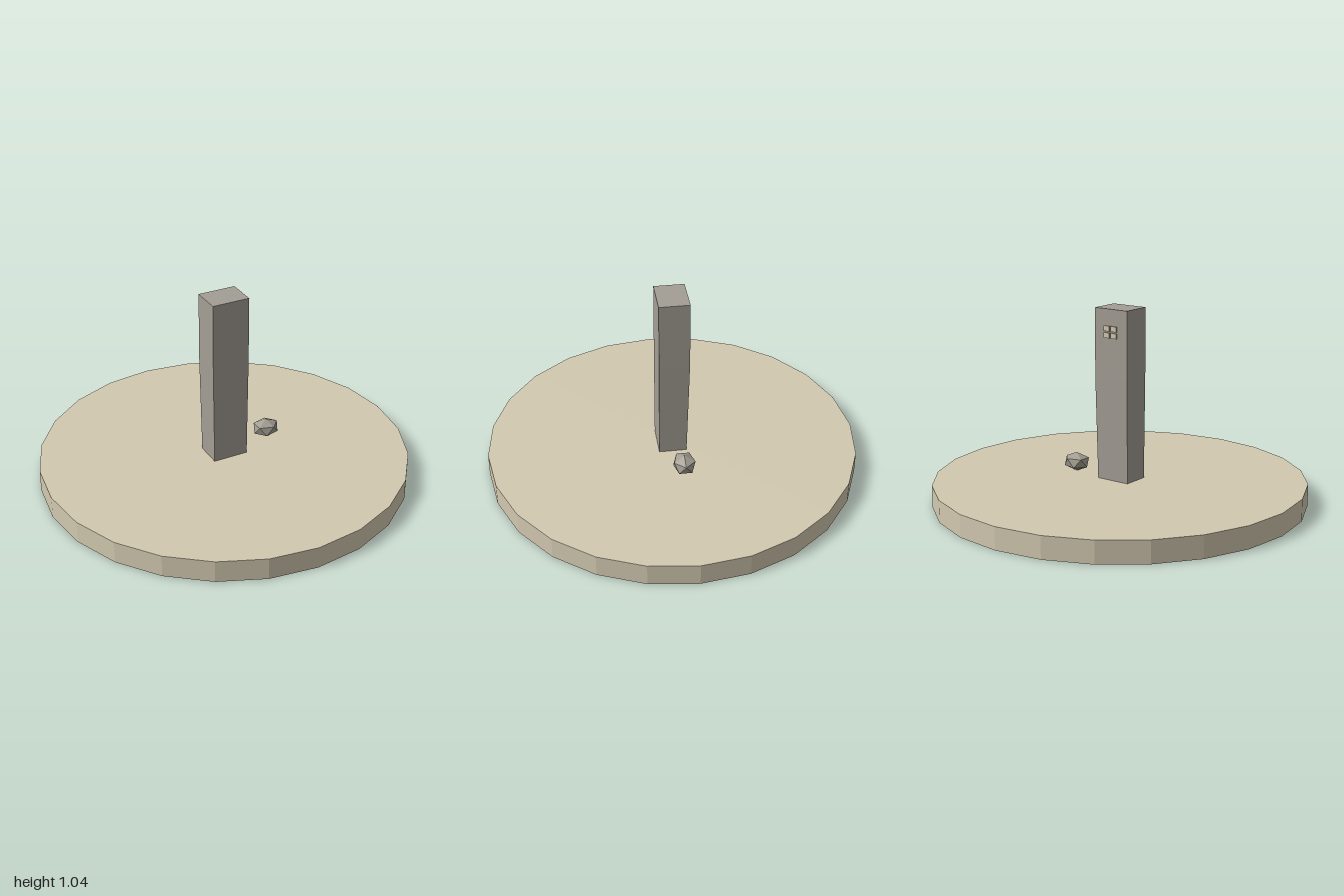
import * as THREE from 'three';

export function createModel() {
  const model = new THREE.Group();
  const material = (name, color) => {
    const m = new THREE.MeshStandardMaterial({ color, flatShading: true });
    m.name = name;
    return m;
  };
  const sand = material('sand', 0xd2c9b0);
  const stone = material('stone', 0xa49e95);
  const rockGrey = material('rock grey', 0xa29d91);

  const add = (name, geometry, mat, x, y, z, parent = model) => {
    const mesh = new THREE.Mesh(geometry, mat);
    mesh.name = name;
    mesh.position.set(x, y, z);
    parent.add(mesh);
    return mesh;
  };

  // Round ground disc
  add('groundDisc', new THREE.CylinderGeometry(1, 1, 0.12, 24), sand, 0, 0.06, 0);

  // Standing stone: a box with its foot drawn in slightly
  const height = 0.925;
  const pillar = new THREE.BoxGeometry(0.207, height, 0.162, 1, 5, 1);
  const pos = pillar.attributes.position;
  for (let i = 0; i < pos.count; i++) {
    const t = pos.getY(i) / height + 0.5;
    const foot = Math.max(0, 1 - t / 0.6);
    const x = pos.getX(i), z = pos.getZ(i);
    pos.setX(i, x * (1 - 0.06 * foot));
    if (z < 0) pos.setZ(i, z + 0.014 * foot);
  }
  pillar.computeVertexNormals();
  add('standingStone', pillar, stone, -0.001, 0.12 + height / 2, 0.001);

  // Two rows of small raised blocks on the back
  const blocks = new THREE.Group();
  blocks.name = 'backBlocks';
  model.add(blocks);
  for (const x of [-0.022, 0.022]) {
    for (const y of [0.907, 0.943]) {
      add('raisedBlock', new THREE.BoxGeometry(0.036, 0.028, 0.014), sand, x, y, -0.082, blocks);
    }
  }

  // Small loose rock resting on the disc
  const rock = new THREE.IcosahedronGeometry(1, 0);
  rock.rotateZ(-Math.atan(2 / (1 + Math.sqrt(5))));
  rock.scale(0.078, 0.052, 0.066);
  add('looseRock', rock, rockGrey, 0.274, 0.172, -0.027);

  return model;
}
